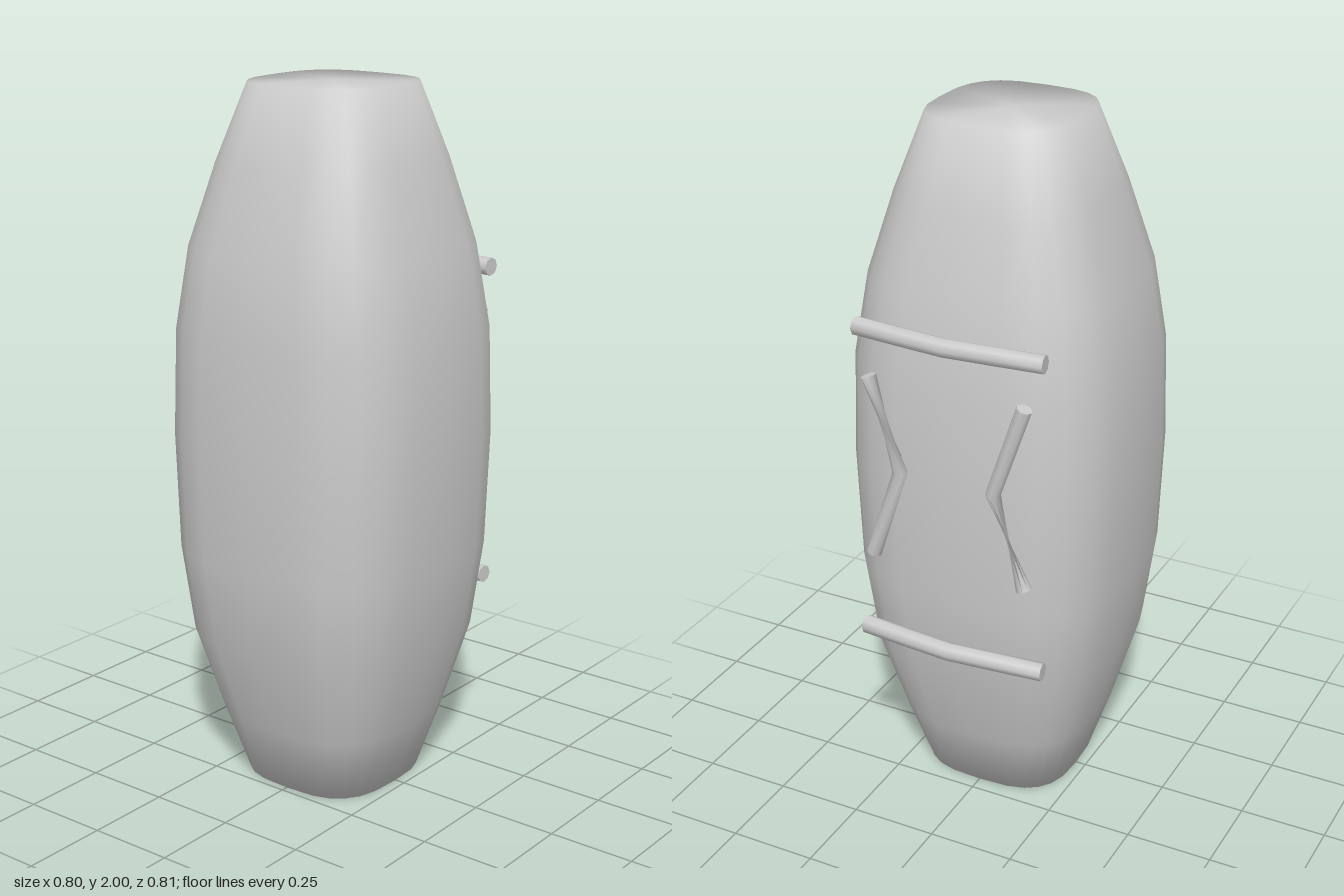
import * as THREE from 'three';

const material = new THREE.MeshStandardMaterial({ color: 0xcccccc, side: THREE.DoubleSide });

// Skins equal-length rings of points, listed bottom to top, and closes both ends.
function skin(rings, creasedCaps) {
  const n = rings[0].length, pos = [], idx = [];
  const add = (p) => pos.push(p.x, p.y, p.z) / 3 - 1;
  rings.forEach((ring) => ring.forEach(add));
  for (let r = 0; r < rings.length - 1; r++) {
    for (let i = 0; i < n; i++) {
      const a = r * n + i, b = r * n + (i + 1) % n;
      idx.push(a, a + n, b, b, a + n, b + n);
    }
  }
  [0, rings.length - 1].forEach((r, end) => {
    const ring = rings[r];
    const start = creasedCaps ? pos.length / 3 : r * n;
    if (creasedCaps) ring.forEach(add);
    const centre = new THREE.Vector3();
    ring.forEach((p) => centre.addScaledVector(p, 1 / n));
    const c = add(centre);
    for (let i = 0; i < n; i++) {
      const a = start + i, b = start + (i + 1) % n;
      if (end) idx.push(a, c, b);
      else idx.push(a, b, c);
    }
  });
  const g = new THREE.BufferGeometry();
  g.setAttribute('position', new THREE.Float32BufferAttribute(pos, 3));
  g.setIndex(idx);
  g.computeVertexNormals();
  return g;
}

// Rounded-square section with separate front and back depths.
function bodyRing([y, w, front, back]) {
  const ring = [], n = 24, power = 2 / 3;
  for (let i = 0; i < n; i++) {
    const a = (i / n) * Math.PI * 2, c = Math.cos(a), s = Math.sin(a);
    const x = Math.sign(c) * Math.abs(c) ** power;
    const z = Math.sign(s) * Math.abs(s) ** power;
    ring.push(new THREE.Vector3(x * w, y, z * (z > 0 ? front : back)));
  }
  return ring;
}

// Bar through a few points; twists[i] turns the section at that point.
function bar(points, radius, twists) {
  const n = 8;
  const pts = points.map((p) => new THREE.Vector3(...p));
  const rings = pts.map((p, i) => {
    const dir = pts[Math.min(i + 1, pts.length - 1)].clone().sub(pts[Math.max(i - 1, 0)]).normalize();
    const u = new THREE.Vector3(0, 0, 1).addScaledVector(dir, -dir.z).normalize();
    const v = new THREE.Vector3().crossVectors(u, dir);
    return Array.from({ length: n }, (_, k) => {
      const a = (k / n) * Math.PI * 2 + (twists ? twists[i] : 0);
      return p.clone().addScaledVector(u, Math.cos(a) * radius).addScaledVector(v, Math.sin(a) * radius);
    });
  });
  return skin(rings, true);
}

export function createModel() {
  const model = new THREE.Group();
  const add = (name, geometry) => {
    const mesh = new THREE.Mesh(geometry, material);
    mesh.name = name;
    model.add(mesh);
  };

  // Tapered body: height, half width, front depth, back depth
  const profile = [
    [0, 0.22, 0.23, 0.205], [0.2, 0.285, 0.295, 0.27], [0.45, 0.355, 0.37, 0.345],
    [0.7, 0.387, 0.4, 0.375], [1.03, 0.4, 0.405, 0.38], [1.33, 0.392, 0.395, 0.37],
    [1.56, 0.355, 0.365, 0.335], [1.79, 0.285, 0.295, 0.27], [2, 0.208, 0.218, 0.197],
  ];
  add('body', skin(profile.map(bodyRing), false));

  // Two cross bars on the back
  for (const [name, y] of [['upperBackBar', 1.465], ['lowerBackBar', 0.545]]) {
    add(name, bar([
      [-0.277, y, -0.355], [-0.14, y, -0.368], [0, y, -0.38], [0.14, y, -0.368], [0.277, y, -0.355],
    ], 0.026));
  }

  // Two bent handles pointing inward, each with one twisted half
  for (const [name, side, twists] of [
    ['leftHandle', 1, [0, 0, 2.8]], ['rightHandle', -1, [2.8, 0, 0]],
  ]) {
    add(name, bar([
      [side * 0.23, 0.805, -0.378], [side * 0.14, 1.075, -0.38], [side * 0.23, 1.34, -0.378],
    ], 0.022, twists));
  }
  return model;
}
